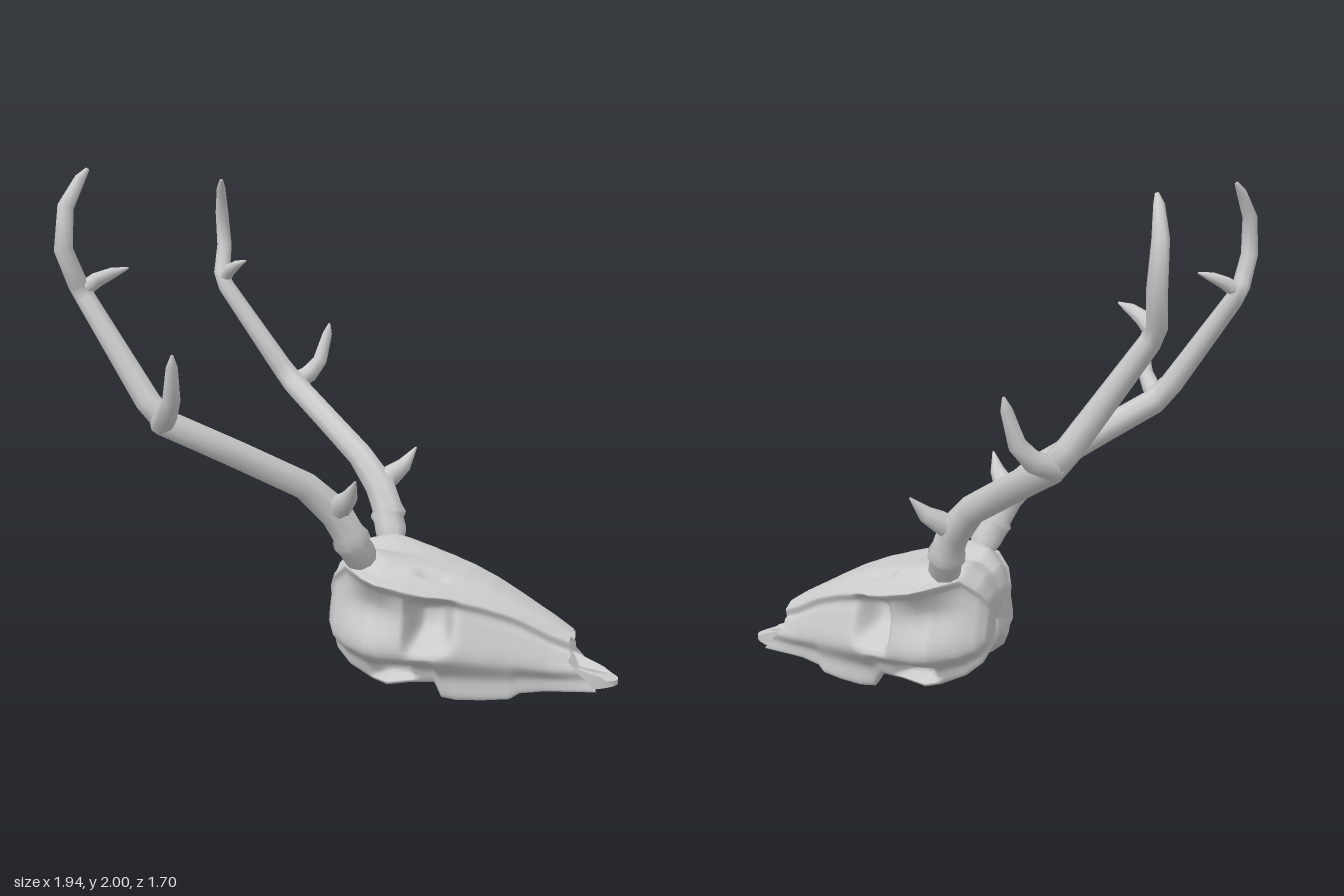
import * as THREE from 'three';

const bone = new THREE.MeshStandardMaterial({ color: 0xcccccc, side: THREE.DoubleSide });
const V = (x, y, z) => new THREE.Vector3(x, y, z);

// Skin a list of closed rings that all have the same number of points
function skin(rings, name) {
  const n = rings[0].length, index = [];
  for (let i = 0; i < rings.length - 1; i++) {
    for (let j = 0; j < n; j++) {
      const a = i * n + j, b = i * n + (j + 1) % n;
      index.push(a, b, a + n, b, b + n, a + n);
    }
  }
  const geo = new THREE.BufferGeometry().setFromPoints(rings.flat());
  geo.setIndex(index);
  geo.computeVertexNormals();
  const mesh = new THREE.Mesh(geo, bone);
  mesh.name = name;
  return mesh;
}

// Tapered limb through [x, y, z, radius] stations, mirrored by side
function limb(path, side, name, sides = 8) {
  const pts = path.map(([x, y, z]) => V(x, y, z * side));
  const last = pts.length - 1;
  const rings = pts.map((p, i) => {
    const dir = pts[Math.min(i + 1, last)].clone().sub(pts[Math.max(i - 1, 0)]).normalize();
    const u = V(0, 0, 1).cross(dir).normalize();
    const v = dir.clone().cross(u);
    return Array.from({ length: sides }, (_, k) => {
      const a = (k / sides) * Math.PI * 2;
      return p.clone().addScaledVector(u, Math.cos(a) * path[i][3]).addScaledVector(v, Math.sin(a) * path[i][3]);
    });
  });
  rings.push(rings[last].map(() => pts[last].clone()));
  return skin(rings, name);
}

// Skull stations: x, top y, brow z, brow y, cheek z, cheek y, keel z, bottom y
const stations = [
  [-0.15, 0.40, 0.12, 0.39, 0.14, 0.25, 0.09, 0.20],
  [-0.12, 0.48, 0.17, 0.45, 0.19, 0.22, 0.12, 0.14],
  [-0.06, 0.53, 0.215, 0.50, 0.24, 0.20, 0.15, 0.09],
  [0.04, 0.54, 0.325, 0.48, 0.31, 0.19, 0.17, 0.045],
  [0.10, 0.53, 0.352, 0.465, 0.32, 0.185, 0.18, 0.03],
  [0.20, 0.515, 0.335, 0.445, 0.32, 0.185, 0.18, 0.05],
  [0.29, 0.495, 0.30, 0.42, 0.31, 0.185, 0.185, 0.06],
  [0.32, 0.485, 0.28, 0.415, 0.305, 0.185, 0.195, 0.006],
  [0.38, 0.47, 0.24, 0.40, 0.28, 0.185, 0.20, 0.002],
  [0.48, 0.43, 0.19, 0.37, 0.235, 0.17, 0.18, 0.004],
  [0.575, 0.38, 0.15, 0.335, 0.19, 0.155, 0.15, 0.008],
  [0.61, 0.36, 0.137, 0.32, 0.175, 0.15, 0.13, 0.028],
  [0.72, 0.30, 0.10, 0.26, 0.13, 0.13, 0.09, 0.035],
  [0.79, 0.255, 0.075, 0.23, 0.105, 0.13, 0.085, 0.045],
];

function stationAt(x) {
  let i = 0;
  while (i < stations.length - 2 && x > stations[i + 1][0]) i++;
  const a = stations[i], b = stations[i + 1];
  const t = (x - a[0]) / (b[0] - a[0]);
  return a.map((v, k) => v + (b[k] - v) * t);
}

// Soft hollow of the given reach around an offset
const hollow = (du, dv, ru, rv, depth, power = 4) =>
  depth * Math.exp(-(Math.abs(du / ru) ** power) - Math.abs(dv / rv) ** power);

function skullRing(x) {
  const [, top, bz, by, cz, cy, kz, bottom] = stationAt(x);
  const ridge = 0.022 * Math.exp(-(((x - 0.02) / 0.13) ** 2));
  const outline = [
    V(x, top - ridge, 0), V(x, top + ridge - (top - by) * 0.15, bz * 0.48),
    V(x, by * 0.7 + top * 0.3, bz * 0.8), V(x, by, bz), V(x, by - 0.035, bz * 0.94),
    V(x, by * 0.6 + cy * 0.4, bz * 0.5 + cz * 0.44), V(x, cy, cz),
    V(x, (cy + bottom) / 2, cz * 0.35 + kz * 0.6), V(x, bottom, kz),
    V(x, bottom + 0.015, kz * 0.55), V(x, bottom + 0.03, 0),
  ];
  const half = new THREE.CatmullRomCurve3(outline, false, 'centripetal').getPoints(70);
  const snout = THREE.MathUtils.clamp((x - 0.7) / 0.09, 0, 1);
  half.forEach((p, i) => {
    if (i > 21 && i < 54) {
      p.z -= hollow(x - 0.255, p.y - 0.305, x < 0.255 ? 0.045 : 0.1, 0.085, 0.16);  // eye socket
      p.z -= hollow(x - 0.06, p.y - 0.35, 0.1, 0.09, 0.05, 2);                      // temple
      p.z -= hollow(x - 0.13, p.y - 0.09, 0.075, 0.04, 0.08);                       // opening below the cheekbone
    }
    if (i < 21) p.y -= hollow(x - 0.275, p.z - 0.175 + (x - 0.275) * 0.25, 0.05, 0.018, 0.025);  // brow slit
    p.x += snout * Math.max(0, 0.16 - p.y) * 0.9;                                   // nasal opening
  });
  const mirrored = half.slice(1, -1).reverse().map((p) => V(p.x, p.y, -p.z));
  return [...half, ...mirrored];
}

function skull() {
  const rings = [];
  for (let i = 0; i <= 94; i++) rings.push(skullRing(-0.15 + (0.94 * i) / 94));
  // Rear face with a shallow dent
  const rear = rings[0];
  const shrink = (f, x) => rear.map((p) => V(x, 0.29 + (p.y - 0.29) * f, p.z * f));
  rings.unshift(shrink(0, -0.13), shrink(0.4, -0.142));
  return skin(rings, 'skull');
}

// Slotted plate drawn in plan, thicker toward the muzzle
function snoutTip() {
  const shape = new THREE.Shape();
  shape.moveTo(0.78, -0.092);
  shape.lineTo(0.88, -0.074);
  shape.quadraticCurveTo(0.968, -0.05, 0.968, 0);
  shape.quadraticCurveTo(0.968, 0.05, 0.88, 0.074);
  shape.lineTo(0.78, 0.092);
  for (const s of [-1, 1]) {
    const slot = new THREE.Path();
    slot.absellipse(0.87, s * 0.028, 0.055, 0.014, 0, Math.PI * 2, false, 0);
    shape.holes.push(slot);
  }
  const geo = new THREE.ExtrudeGeometry(shape, { depth: 0.03, bevelEnabled: false, curveSegments: 10 });
  geo.rotateX(-Math.PI / 2);
  const pos = geo.attributes.position;
  for (let i = 0; i < pos.count; i++) {
    const back = 0.97 - pos.getX(i);
    const rim = Math.abs(pos.getZ(i)) > 0.06 ? 0.35 : 0.15;
    pos.setY(i, pos.getY(i) > 0.01 ? 0.078 + back * rim : 0.06 - back * 0.1);
  }
  geo.computeVertexNormals();
  const mesh = new THREE.Mesh(geo, bone);
  mesh.name = 'snoutTip';
  return mesh;
}

function antler(side) {
  const group = new THREE.Group();
  group.name = side > 0 ? 'leftAntler' : 'rightAntler';
  group.name = side > 0 ? 'frontAntler' : 'backAntler';
  group.add(
    limb([[0.01, 0.5, 0.19, 0.05], [0.0, 0.55, 0.215, 0.068], [-0.02, 0.595, 0.245, 0.066],
      [-0.022, 0.61, 0.25, 0.078], [-0.03, 0.635, 0.26, 0.066], [-0.07, 0.72, 0.29, 0.066],
      [-0.17, 0.83, 0.35, 0.056], [-0.38, 0.965, 0.51, 0.054], [-0.58, 1.09, 0.665, 0.053],
      [-0.65, 1.17, 0.675, 0.048], [-0.9, 1.53, 0.645, 0.038], [-0.925, 1.585, 0.66, 0.037],
      [-0.94, 1.71, 0.73, 0.035], [-0.94, 1.86, 0.705, 0.03], [-0.915, 1.96, 0.64, 0.02],
      [-0.9, 1.995, 0.61, 0.008]], side, 'beam'),
    limb([[-0.09, 0.71, 0.28, 0.05], [-0.03, 0.765, 0.335, 0.044], [0.01, 0.8, 0.375, 0.032],
      [0.05, 0.87, 0.425, 0.004]], side, 'browTine'),
    limb([[-0.6, 1.09, 0.67, 0.045], [-0.545, 1.13, 0.75, 0.04], [-0.505, 1.19, 0.79, 0.033],
      [-0.482, 1.31, 0.83, 0.022], [-0.475, 1.355, 0.84, 0.005]], side, 'middleTine'),
    limb([[-0.92, 1.555, 0.66, 0.032], [-0.87, 1.6, 0.62, 0.028], [-0.82, 1.625, 0.59, 0.02],
      [-0.77, 1.642, 0.565, 0.004]], side, 'upperTine'),
  );
  return group;
}

export function createModel() {
  const model = new THREE.Group();
  model.name = 'antleredSkull';
  model.add(skull(), snoutTip(), antler(1), antler(-1));
  return model;
}
